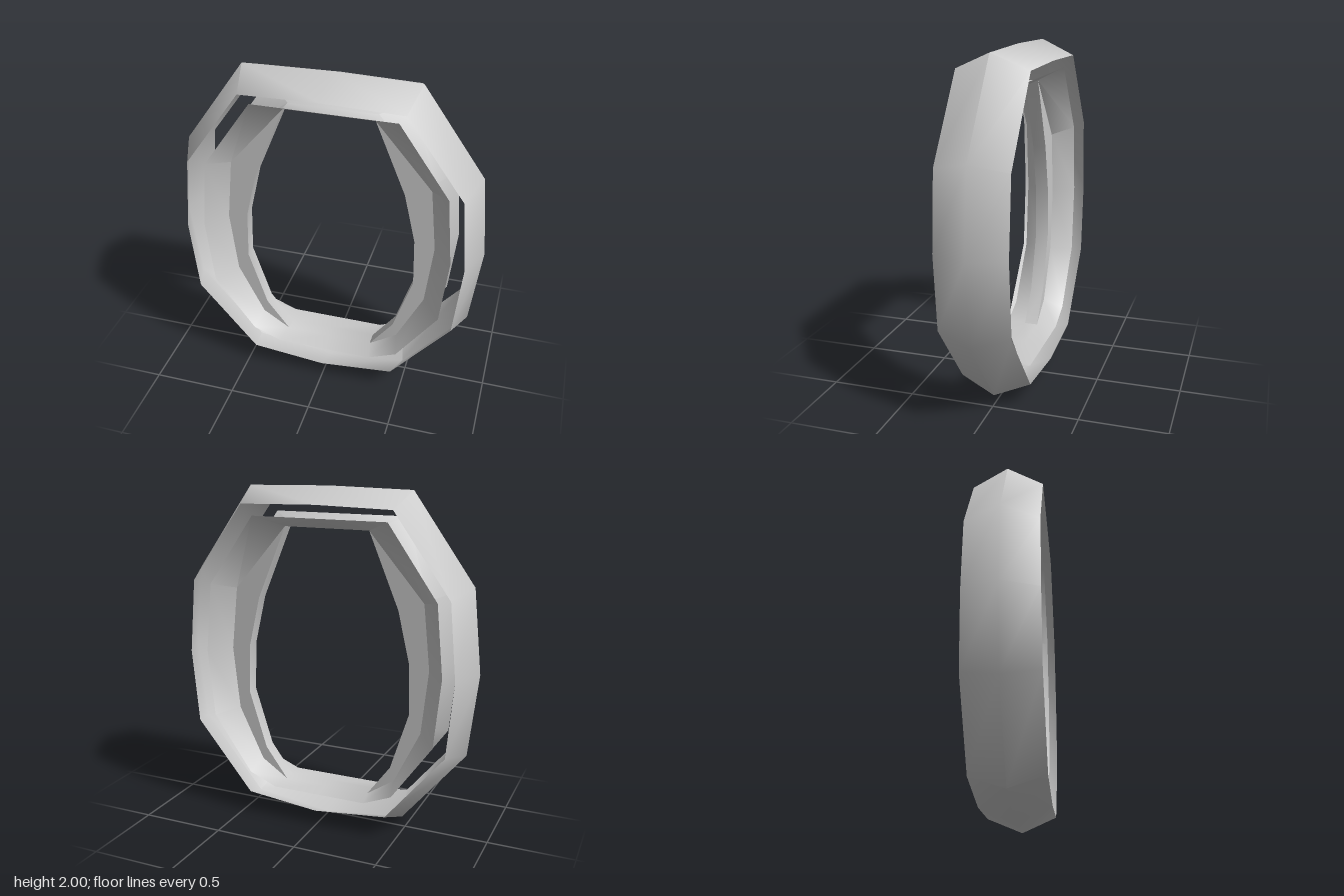
import * as THREE from 'three';
import { toCreasedNormals } from 'three/addons/utils/BufferGeometryUtils.js';

const material = new THREE.MeshStandardMaterial({ color: 0xcccccc, side: THREE.DoubleSide });

// Half outlines [x, y], from the top centre down the +x side to the bottom centre
const ridge = [[0, 2], [0.5, 1.99], [0.86, 1.485], [0.91, 1], [0.855, 0.515], [0.48, 0.06], [0, 0]];
const rim = [[0, 1.91], [0.455, 1.9], [0.785, 1.44], [0.825, 1], [0.785, 0.56], [0.44, 0.14], [0, 0.095]];
const bandEdge = [[0, 1.83], [0.41, 1.83], [0.7, 1.415], [0.74, 1], [0.7, 0.59], [0.46, 0.25], [0.29, 0.18], [0, 0.18]];
const ribRoot = [[0, 1.765], [0.26, 1.765], [0.59, 1.38], [0.63, 1], [0.59, 0.62], [0.435, 0.3], [0.27, 0.19], [0, 0.19]];
const ribCrest = [[0, 1.765], [0.26, 1.765], [0.44, 1.33], [0.51, 1.03], [0.52, 0.73], [0.41, 0.38], [0.27, 0.19], [0, 0.19]];

// Mirrors a half outline into a full loop
const fullLoop = (half) => [...half, ...half.slice(1, -1).reverse().map(([x, y]) => [-x, y])];

// Skins a row of sections {points, z}; flip turns the faces over
function loft(name, sections, { closed = true, flip = false, crease = 0.6 } = {}) {
  const n = sections[0].points.length;
  const positions = sections.flatMap(({ points, z }) => points.flatMap(([x, y]) => [x, y, z]));
  const index = [];
  for (let s = 0; s < sections.length - 1; s++) {
    for (let i = 0; i < (closed ? n : n - 1); i++) {
      const j = (i + 1) % n;
      const a = s * n + i, b = s * n + j, c = a + n, d = b + n;
      if (flip) index.push(a, c, b, b, c, d);
      else index.push(a, b, c, b, d, c);
    }
  }
  const geometry = new THREE.BufferGeometry();
  geometry.setAttribute('position', new THREE.Float32BufferAttribute(positions, 3));
  geometry.setIndex(index);
  const mesh = new THREE.Mesh(toCreasedNormals(geometry, crease), material);
  mesh.name = name;
  return mesh;
}

export function createModel() {
  const group = new THREE.Group();
  group.name = 'doubleRing';

  // Outer shell with a ridge around its middle
  group.add(loft('outerRing', [
    { points: fullLoop(rim), z: 0.205 },
    { points: fullLoop(ridge), z: 0 },
    { points: fullLoop(rim), z: -0.205 },
  ], { flip: true, crease: 1.05 }));

  // Inner band narrowing towards the middle
  group.add(loft('innerBand', [
    { points: fullLoop(bandEdge), z: 0.16 },
    { points: fullLoop(ribRoot), z: 0.04 },
    { points: fullLoop(ribRoot), z: -0.04 },
    { points: fullLoop(bandEdge), z: -0.16 },
  ], { crease: 0.9 }));

  // Raised crescent ribs on the left and right of the band
  for (const side of [1, -1]) {
    const arc = (half) => half.slice(1, -1).map(([x, y]) => [side * x, y]);
    group.add(loft(side > 0 ? 'leftRib' : 'rightRib', [
      { points: arc(ribRoot), z: 0.04 },
      { points: arc(ribCrest), z: 0.04 },
      { points: arc(ribCrest), z: -0.04 },
      { points: arc(ribRoot), z: -0.04 },
    ], { closed: false, flip: side < 0, crease: 0.9 }));
  }
  return group;
}
